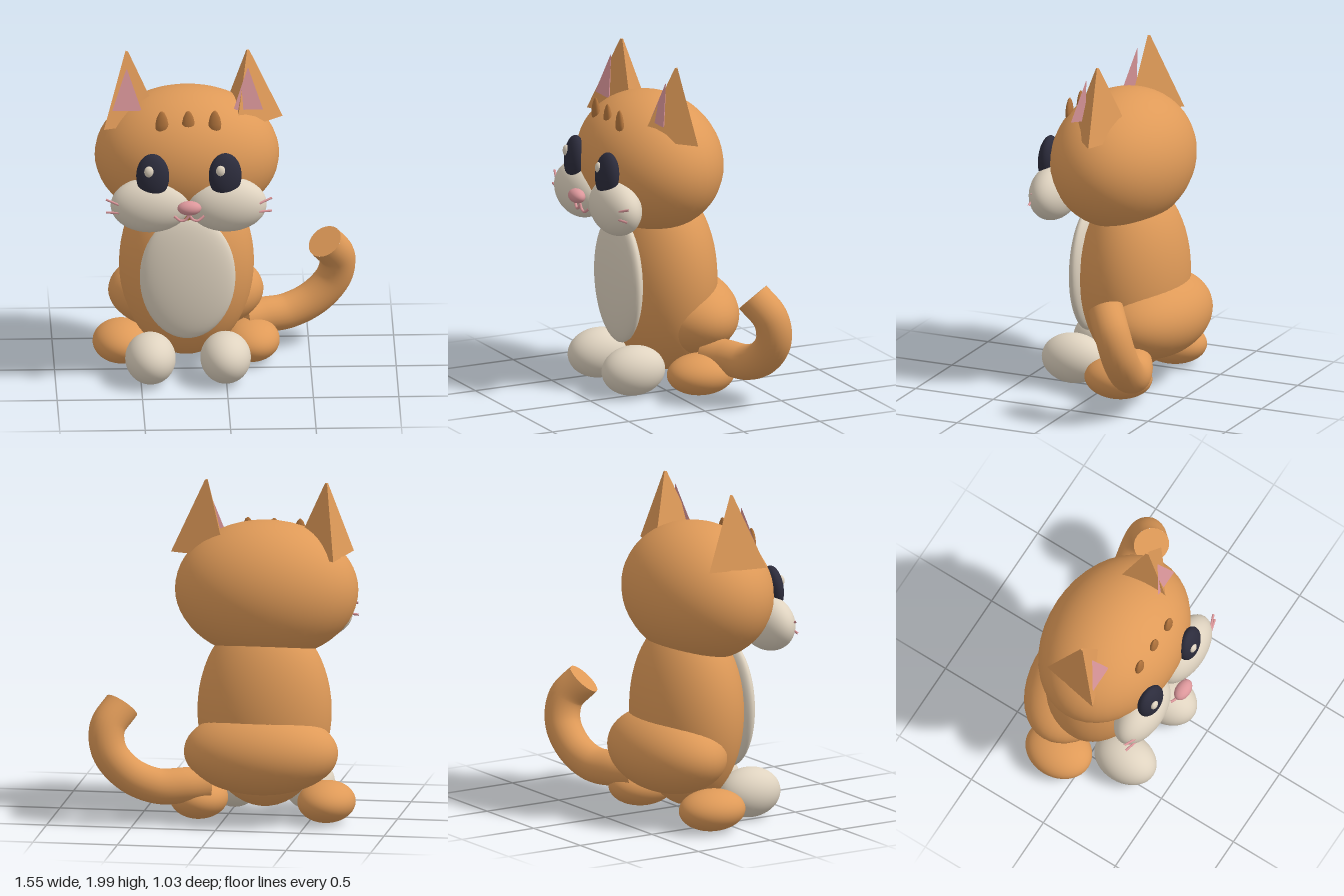
import * as THREE from 'three';

const CX = -0.225; // middle of the body; the tail swings out to +x

const mat = (name, color, extra = {}) => {
  const m = new THREE.MeshStandardMaterial({ color, ...extra });
  m.name = name;
  return m;
};

export function createModel() {
  const orange = mat('orange fur', 0xdf9a58);
  const orangeFlat = mat('orange fur faceted', 0xdf9a58, { flatShading: true });
  const brown = mat('brown tuft', 0xb2743c);
  const cream = mat('cream fur', 0xdfd3c0);
  const dark = mat('dark eye', 0x2c2c3c);
  const pink = mat('pink', 0xdc979b);
  const pinkFlat = mat('pink faceted', 0xdc979b, { flatShading: true });

  const model = new THREE.Group();
  model.name = 'sittingCat';

  const add = (name, geometry, material, x = 0, y = 0, z = 0) => {
    const mesh = new THREE.Mesh(geometry, material);
    mesh.name = name;
    mesh.position.set(x, y, z);
    model.add(mesh);
    return mesh;
  };
  // Ellipsoid from centre and radii
  const ball = (name, material, [x, y, z], [rx, ry, rz]) => {
    const mesh = add(name, new THREE.SphereGeometry(1, 40, 28), material, x, y, z);
    mesh.scale.set(rx, ry, rz);
    return mesh;
  };
  const tube = (name, material, points, radius, segments = 16, sides = 8) => {
    const curve = new THREE.CatmullRomCurve3(points.map((p) => new THREE.Vector3(...p)));
    add(name, new THREE.TubeGeometry(curve, segments, radius, sides), material);
    return curve;
  };

  // Head, body and rump
  ball('head', orange, [CX, 1.357, -0.003], [0.54, 0.407, 0.402]);
  ball('body', orange, [CX, 0.65, -0.08], [0.395, 0.57, 0.31]);
  ball('rump', orange, [CX, 0.425, -0.213], [0.455, 0.25, 0.3]);
  ball('belly', cream, [CX - 0.002, 0.66, 0.2], [0.28, 0.385, 0.075]);

  // Paired parts
  for (const s of [-1, 1]) {
    const side = s > 0 ? 'left' : 'right';
    ball(side + 'FrontPaw', cream, [CX + s * 0.22, 0.157, 0.215], [0.148, 0.148, 0.195]);
    ball(side + 'BackFoot', orange, [CX + s * 0.378, 0.13, -0.147], [0.17, 0.122, 0.205]);
    ball(side + 'Cheek', cream, [CX + s * 0.225, 1.165, 0.335], [0.232, 0.165, 0.13]);

    // Eyes, with both glints on the same side
    const eye = ball(side + 'Eye', dark, [CX + s * 0.212, 1.362, 0.383], [0.097, 0.135, 0.055]);
    eye.rotation.set(-0.1, s * 0.12, 0);
    ball(side + 'EyeGlint', cream, [CX + s * 0.21 - 0.025, 1.405, 0.424], [0.028, 0.034, 0.02]);

    // Three-sided ears with pink inner wedges
    const earX = CX + s * 0.355;
    const turn = Math.PI / 2 + s * 0.18;
    add(side + 'Ear', new THREE.CylinderGeometry(0.01, 0.21, 0.43, 3, 1, false, turn),
      orangeFlat, earX, 1.785, 0);
    const inner = add(side + 'InnerEar',
      new THREE.CylinderGeometry(0.003, 0.1, 0.245, 3, 1, false, Math.PI),
      pinkFlat, earX, 1.793, 0.092);
    inner.scale.z = 0.35;
    inner.rotation.x = -0.17;

    // Whiskers
    const wx = (d) => CX + s * d;
    tube(side + 'UpperWhisker', pink, [[wx(0.39), 1.185, 0.41], [wx(0.485), 1.216, 0.375]], 0.007, 2);
    tube(side + 'LowerWhisker', pink, [[wx(0.39), 1.142, 0.41], [wx(0.485), 1.14, 0.385]], 0.007, 2);

    // Half of the smile
    tube(side + 'Smile', pink, [
      [wx(0), 1.145, 0.452], [wx(0.02), 1.115, 0.452], [wx(0.05), 1.107, 0.45], [wx(0.088), 1.132, 0.44],
    ], 0.008);
  }

  ball('nose', pink, [CX, 1.195, 0.475], [0.07, 0.042, 0.045]);

  // Teardrop tufts on the forehead
  const tuftProfile = [[0, -0.07], [0.022, -0.062], [0.036, -0.035], [0.038, -0.005],
    [0.03, 0.035], [0.016, 0.065], [0.006, 0.075], [0, 0.076]].map((p) => new THREE.Vector2(...p));
  for (let i = -1; i <= 1; i++) {
    const tuft = add('foreheadTuft', new THREE.LatheGeometry(tuftProfile, 20), brown,
      CX + i * 0.155, 1.65, 0.272);
    tuft.scale.z = 0.55;
  }

  // Curled tail with flat ends
  const tailRadius = 0.105;
  const tail = tube('tail', orange, [
    [0.1, 0.23, -0.22], [0.22, 0.228, -0.285], [0.37, 0.23, -0.34], [0.53, 0.3, -0.372],
    [0.645, 0.43, -0.378], [0.665, 0.57, -0.345], [0.59, 0.69, -0.267],
  ], tailRadius, 48, 24);
  for (const [t, dir] of [[0, -1], [1, 1]]) {
    const p = tail.getPointAt(t);
    const cap = add('tailEnd', new THREE.CircleGeometry(tailRadius, 24), orange, p.x, p.y, p.z);
    cap.lookAt(p.clone().addScaledVector(tail.getTangentAt(t), dir));
  }

  return model;
}
